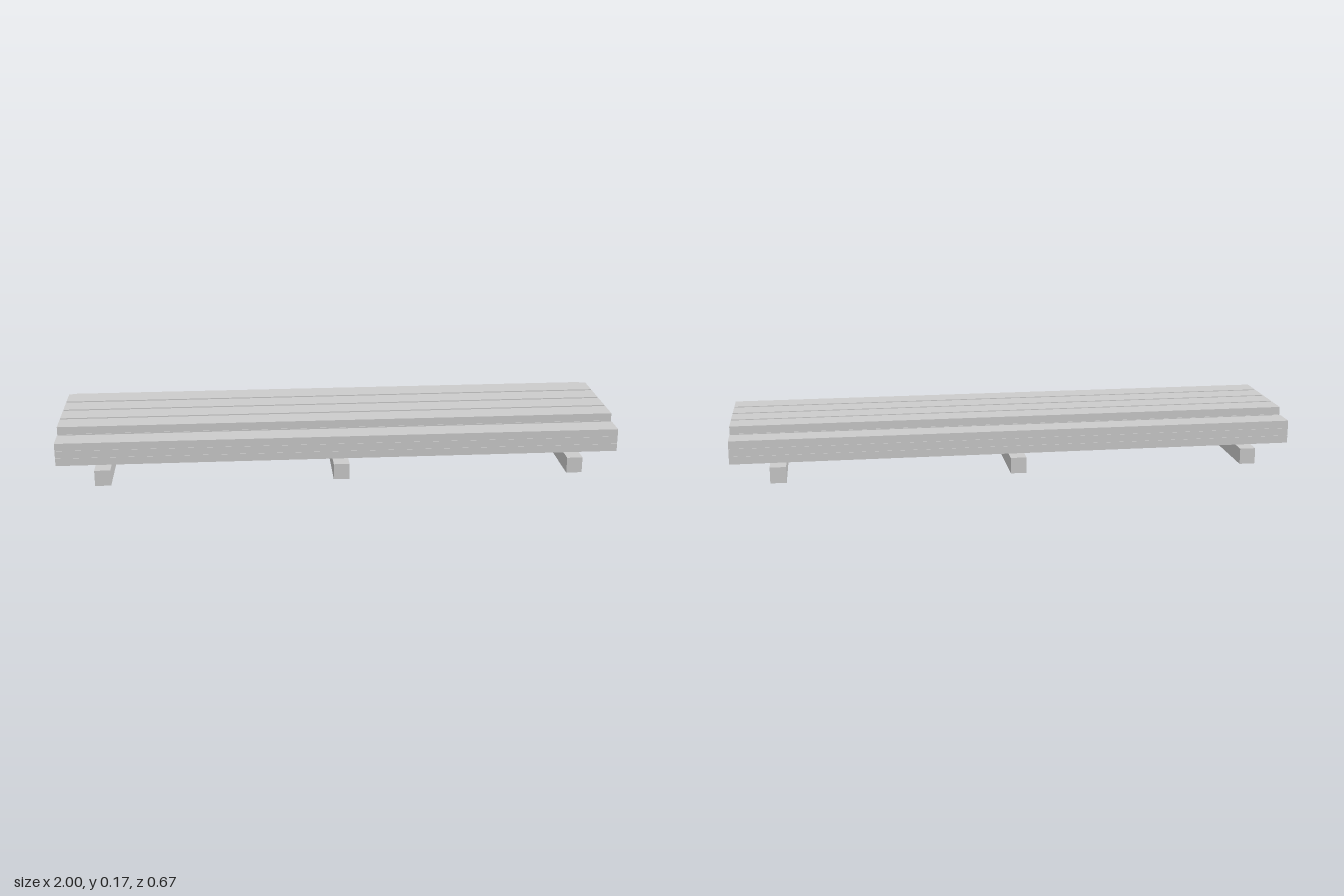
import * as THREE from 'three';

const material = new THREE.MeshStandardMaterial({ color: 0xcccccc, flatShading: true });

function addBox(parent, name, size, position) {
  const mesh = new THREE.Mesh(new THREE.BoxGeometry(...size), material);
  mesh.name = name;
  mesh.position.set(...position);
  parent.add(mesh);
}

export function createModel() {
  const model = new THREE.Group();
  model.name = 'plankStack';

  // Three square bearers across the bottom
  const bearer = 0.0565;
  for (const x of [-0.833, 0, 0.833]) {
    addBox(model, 'bearer', [0.0556, bearer, 0.667], [x, bearer / 2, 0]);
  }

  // Three full layers of six planks, then a top layer of four
  const thickness = 0.0272, layerPitch = 0.0278, width = 0.0833, rowPitch = 0.0945;
  [6, 6, 6, 4].forEach((count, layer) => {
    const planks = new THREE.Group();
    planks.name = 'plankLayer';
    const y = bearer + layer * layerPitch + thickness / 2;
    for (let i = 0; i < count; i++) {
      addBox(planks, 'plank', [2, thickness, width], [0, y, (i - (count - 1) / 2) * rowPitch]);
    }
    model.add(planks);
  });

  return model;
}
